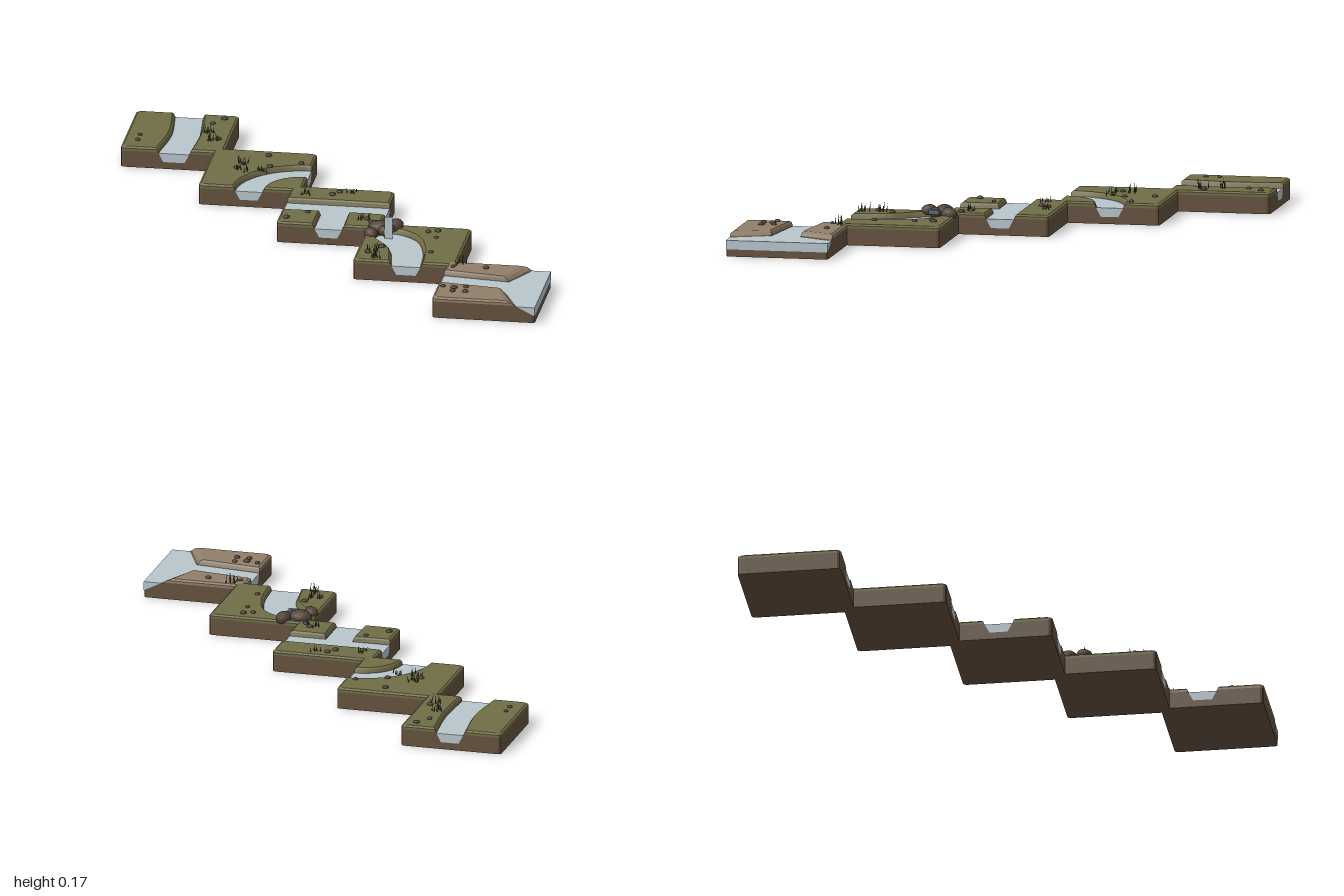
import * as THREE from 'three';
import { mergeGeometries } from 'three/addons/utils/BufferGeometryUtils.js';

const S = 0.2175; // half the side of a tile
const mat = (name, color) => Object.assign(new THREE.MeshStandardMaterial({ color }), { name });

const area = (p) => p.reduce((s, a, i) => {
  const b = p[(i + 1) % p.length];
  return s + a[0] * b[1] - b[0] * a[1];
}, 0);

// Skin a stack of equal-length [x, z] outlines at heights ys, closed at both ends
function loft(rings, ys) {
  if (area(rings[0]) > 0) rings = rings.map((r) => [...r].reverse());
  const pos = [];
  const n = rings[0].length;
  const put = (k, i) => pos.push(rings[k][i][0], ys[k], rings[k][i][1]);
  for (let k = 0; k + 1 < rings.length; k++) {
    for (let i = 0; i < n; i++) {
      const j = (i + 1) % n;
      put(k, i); put(k, j); put(k + 1, j);
      put(k, i); put(k + 1, j); put(k + 1, i);
    }
  }
  for (const k of [0, rings.length - 1]) {
    const contour = rings[k].map((p) => new THREE.Vector2(p[0], p[1]));
    for (const t of THREE.ShapeUtils.triangulateShape(contour, [])) {
      const up = area(t.map((i) => rings[k][i])) < 0;
      const tri = up === (k > 0) ? t : [t[0], t[2], t[1]];
      tri.forEach((i) => put(k, i));
    }
  }
  const g = new THREE.BufferGeometry();
  g.setAttribute('position', new THREE.Float32BufferAttribute(pos, 3));
  g.computeVertexNormals();
  return g;
}

// Replace sharp corners by small rounded ones; path runs from 'a' through corners to 'b'
function roundCorners(a, corners, b, r = 0.014) {
  const path = [a, ...corners, b];
  return corners.flatMap((c, i) => {
    const toward = (q) => {
      const l = Math.hypot(q[0] - c[0], q[1] - c[1]);
      return [c[0] + (q[0] - c[0]) * r / l, c[1] + (q[1] - c[1]) * r / l];
    };
    return [toward(path[i]), [c[0] * (1 - 0.3 * r / S), c[1] * (1 - 0.3 * r / S)], toward(path[i + 2])];
  });
}

// Smooth a bank line through a few points
function smooth(pts, n = 20) {
  const c = new THREE.CatmullRomCurve3(pts.map(([x, z]) => new THREE.Vector3(x, 0, z)));
  return c.getPoints(n).map((v) => [v.x, v.z]);
}

// A piece of land: its water's edge plus tile corners; slope is the run of the bank per point
function makeLand(edge, corners, slope) {
  const side = Math.sign(area([...edge, ...corners]));
  const d = slope ?? edge.map((p, i) => {
    const a = edge[Math.max(i - 1, 0)], b = edge[Math.min(i + 1, edge.length - 1)];
    const l = Math.hypot(b[0] - a[0], b[1] - a[1]);
    const v = [-(b[1] - a[1]) / l * side * 0.02, (b[0] - a[0]) / l * side * 0.02];
    if (i > 0 && i < edge.length - 1) return v;
    return Math.abs(p[0]) > S - 0.001 ? [0, Math.sign(v[1]) * 0.02] : [Math.sign(v[0]) * 0.02, 0];
  });
  const outer = roundCorners(edge[edge.length - 1], corners, edge[0]);
  const line = (c, e = 0) => edge.map((p, i) => [0, 1].map((k) =>
    THREE.MathUtils.clamp(p[k] + d[i][k] * c, e - S, S - e)));
  const ring = (c, e = 0) => [...line(c, e), ...outer.map((p) => p.map((v) => v * (S - e) / S))];
  return { line, ring };
}

export function createModel() {
  const M = {
    soil: mat('soil', 0x65523f), grass: mat('grass', 0x716d47), sand: mat('sand', 0x917e69),
    water: mat('water', 0xb8c7ce), rock: mat('rock', 0x54443a), pebble: mat('pebble', 0x4a4034),
    reed: mat('reed', 0x465932), slate: mat('spring stone', 0x5a6a70),
  };
  const root = new THREE.Group();
  root.name = 'riverTiles';
  const add = (parent, name, geo, material) => {
    const m = new THREE.Mesh(geo, material);
    m.name = name;
    parent.add(m);
    return m;
  };
  let seed = 7;
  const rnd = () => (seed = (seed * 16807) % 2147483647) / 2147483647;

  // One tile: soil slab, land pieces with a turf cap, and water between the banks
  function tile(name, offset, lands, cap, extra = []) {
    const g = new THREE.Group();
    g.name = name;
    g.position.set(offset, 0, offset);
    root.add(g);
    const sq = [[-S, -S], [S, -S], [S, S], [-S, S]];
    const slab = roundCorners(sq[3], sq, sq[0]);
    add(g, 'base', loft([slab, slab], [0, 0.03]), M.soil);
    for (const l of lands) {
      add(g, 'soil', loft([l.ring(-1), l.ring(0.1)], [0.03, 0.072]), M.soil);
      add(g, 'topLayer', loft([l.ring(0.1), l.ring(0.3), l.ring(0.6, 0.009)], [0.072, 0.083, 0.09]), cap);
    }
    const shore = (c) => [...lands[0].line(c), ...extra, ...lands.slice(1).flatMap((l) => l.line(c).reverse())];
    add(g, 'water', loft([shore(-1), shore(0)], [0.03, 0.068]), M.water);
    return g;
  }

  // Straight stream
  tile('straightTile', -0.7825, [
    makeLand(smooth([[-0.054, -S], [-0.035, 0], [-0.057, S]]), [[-S, S], [-S, -S]]),
    makeLand(smooth([[0.063, -S], [0.082, 0], [0.073, S]]), [[S, S], [S, -S]]),
  ], M.grass);

  // Quarter bend
  const arc = (r) => Array.from({ length: 19 }, (_, i) => {
    const a = i / 18 * Math.PI / 2;
    return [S - r * Math.cos(a), S - r * Math.sin(a)];
  });
  tile('bendTile', -0.391, [
    makeLand(arc(0.28), [[S, -S], [-S, -S], [-S, S]]),
    makeLand(arc(0.165), [[S, S]]),
  ], M.grass);

  // T junction
  tile('junctionTile', 0, [
    makeLand([[-S, -0.067], [S, -0.067]], [[S, -S], [-S, -S]]),
    makeLand([[0.06, S], [0.06, 0.05], [S, 0.05]], [[S, S]]),
    makeLand([[-S, 0.05], [-0.056, 0.05], [-0.056, S]], [[-S, S]]),
  ], M.grass);

  // Spring among rocks
  const spring = tile('springTile', 0.386, [
    makeLand(smooth([[-0.055, S], [-0.088, 0.045], [-0.155, -0.055], [-0.17, -0.115], [-0.125, -0.155],
      [-0.075, -0.15], [0.003, -0.088], [0.051, 0.045], [0.067, S]], 40),
    [[S, S], [S, -S], [-S, -S], [-S, S]]),
  ], M.grass);
  const rocks = [[-0.164, -0.159, 0.05, 0.032], [-0.1, -0.191, 0.038, 0.03], [-0.191, -0.089, 0.035, 0.026],
    [-0.135, -0.125, 0.03, 0.024]];
  rocks.forEach(([x, z, r, h], i) => {
    const m = add(spring, 'springRock', new THREE.DodecahedronGeometry(1, 1), M.rock);
    m.material.flatShading = false;
    m.scale.set(r, h, r * 0.8);
    m.rotation.y = i * 1.1;
    m.position.set(x, 0.094, z);
  });
  const spout = add(spring, 'springSpout', new THREE.PlaneGeometry(0.035, 0.097), M.water);
  spout.position.set(-0.118, 0.117, -0.1);
  add(spring, 'spoutStone', new THREE.BoxGeometry(0.035, 0.02, 0.045), M.slate).position.set(-0.118, 0.1, -0.126);

  // River mouth opening to the sea, with sloping sand
  const mouth = (s, z0, z1) => makeLand([[-S, z0], [0.063, z1], [0.14, s * S]], [[-S, s * S]],
    [[0, s * 0.02], [-0.04, s * 0.015], [-0.0775, 0]]);
  tile('mouthTile', 0.7825, [mouth(-1, -0.1, -0.069), mouth(1, 0.02, 0.054)], M.sand, [[S, -S], [S, S]]);

  // Pebbles scattered on the land
  const pebbles = [[-0.94, -0.71], [-0.94, -0.65], [-0.62, -0.95], [-0.66, -0.89], [-0.61, -0.71],
    [-0.48, -0.39], [-0.37, -0.55], [-0.22, -0.48], [-0.345, -0.425], [-0.01, -0.17], [-0.035, -0.137],
    [-0.105, 0.083], [-0.184, 0.158], [0.152, 0.126], [0.178, 0.163], [0.43, 0.238], [0.468, 0.222],
    [0.473, 0.302], [0.478, 0.473], [0.265, 0.44], [0.216, 0.51], [0.596, 0.628], [0.735, 0.623],
    [0.59, 0.863], [0.639, 0.874], [0.687, 0.858], [0.692, 0.912], [0.639, 0.912]];
  for (const [x, z] of pebbles) {
    const m = add(root, 'pebble', new THREE.IcosahedronGeometry(1, 1), M.pebble);
    const r = 0.009 + rnd() * 0.005;
    m.scale.set(r * 1.1, r * 0.7, r);
    m.rotation.y = rnd() * 6;
    m.position.set(x, 0.092, z);
  }

  // Reed tufts: thin leaning blades
  const tufts = [[-0.66, -0.78, 0.045], [-0.63, -0.7, 0.05], [-0.465, -0.435, 0.045], [-0.365, -0.365, 0.03],
    [-0.455, -0.35, 0.035], [-0.145, -0.13, 0.03], [0.035, -0.18, 0.03], [0.14, 0.13, 0.04],
    [0.235, 0.485, 0.045], [0.265, 0.56, 0.05], [0.63, 0.6, 0.05]];
  for (const [x, z, h] of tufts) {
    const blades = Array.from({ length: 7 }, () => {
      const len = h * (0.6 + 0.45 * rnd());
      return new THREE.ConeGeometry(0.0032, len, 3).translate(0, len / 2, 0)
        .rotateZ((rnd() - 0.5) * 0.5).rotateX((rnd() - 0.5) * 0.4)
        .translate((rnd() - 0.5) * 0.05, 0, (rnd() - 0.5) * 0.04);
    });
    add(root, 'reedTuft', mergeGeometries(blades), M.reed).position.set(x, 0.088, z);
  }
  return root;
}
